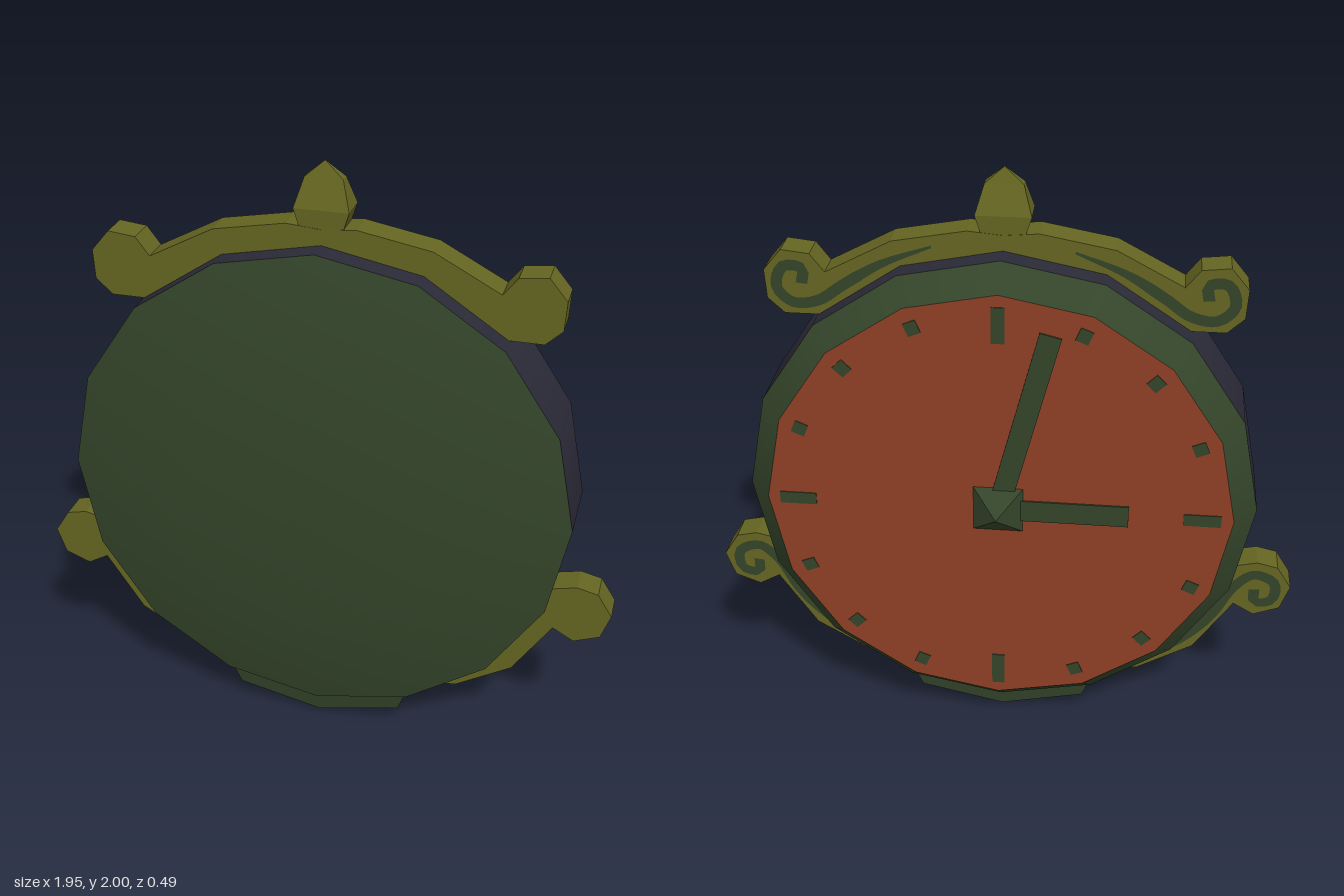
import * as THREE from 'three';

const mat = (name, color, side = THREE.FrontSide, flatShading = false) =>
  Object.assign(new THREE.MeshStandardMaterial({ color, side, flatShading }), { name });

const CY = 0.92; // height of the clock centre
const FACE_Z = -0.165; // plane of the dial
const SIDES = 16;

export function createModel() {
  const group = new THREE.Group();
  const green = mat('dark green', 0x34452a, THREE.DoubleSide);
  const navy = mat('dark navy', 0x2b2a38);
  const olive = mat('olive', 0x656522);
  const orange = mat('rust orange', 0x8f4026);

  const add = (name, geometry, material, x = 0, y = 0, z = 0) => {
    const mesh = new THREE.Mesh(geometry, material);
    mesh.name = name;
    mesh.position.set(x, y, z);
    group.add(mesh);
    return mesh;
  };

  // Case rings: profiles of [radius, z], turned around the z axis
  const ring = (name, profile, material) => {
    const g = new THREE.LatheGeometry(profile.map(p => new THREE.Vector2(...p)), SIDES);
    g.rotateX(Math.PI / 2);
    return add(name, g, material, 0, CY, 0);
  };
  ring('dialBezel', [[0.755, FACE_Z], [0.83, -0.085]], green);
  ring('caseBand', [[0.83, -0.085], [0.83, 0.165]], navy);
  ring('domedCover', [[0.83, 0.165], [0.45, 0.25], [0, 0.25]], green);

  // Dial
  add('dial', new THREE.CircleGeometry(0.755, SIDES), orange, 0, CY, FACE_Z).rotation.y = Math.PI;

  // Hour marks: long ones at the quarters, three small ones between
  for (let i = 0; i < 16; i++) {
    const a = (i / 16) * Math.PI * 2;
    const long = i % 4 === 0;
    const r = long ? 0.655 : 0.685;
    const mark = add('hourMark', new THREE.BoxGeometry(0.042, long ? 0.12 : 0.045, 0.004), green,
      -Math.sin(a) * r, CY + Math.cos(a) * r, FACE_Z - 0.001);
    mark.rotation.z = a;
  }

  // Hands
  const hand = (name, length, width, angle) => {
    const g = new THREE.BoxGeometry(width, length, 0.006);
    g.translate(0, length / 2, 0);
    add(name, g, green, 0, CY, FACE_Z - 0.003).rotation.z = angle;
  };
  hand('minuteHand', 0.65, 0.07, 0.25);
  hand('hourHand', 0.42, 0.075, Math.PI / 2);

  // Pyramid hub in the middle of the dial
  const hub = new THREE.ConeGeometry(0.08 * Math.SQRT2, 0.075, 4, 1).toNonIndexed();
  hub.rotateY(Math.PI / 4);
  hub.rotateX(-Math.PI / 2);
  hub.computeVertexNormals();
  add('handHub', hub, green, 0, CY, FACE_Z - 0.0375);

  // Scrolls around the case, with a carved line on the dial side
  const scroll = (name, outline, groove, s) => {
    const shape = new THREE.Shape(outline.map(([x, y]) => new THREE.Vector2(x * s, y)));
    const g = new THREE.ExtrudeGeometry(shape, { depth: 0.1, bevelEnabled: false });
    add(name, g, olive, 0, 0, -0.01);

    const curve = new THREE.CatmullRomCurve3(groove.map(([x, y]) => new THREE.Vector3(x * s, y, -0.013)));
    const n = 40, pos = [], idx = [];
    for (let i = 0; i <= n; i++) {
      const t = i / n, p = curve.getPointAt(t), d = curve.getTangentAt(t);
      const w = Math.min(0.018, 0.004 + t * 0.04);
      pos.push(p.x - d.y * w, p.y + d.x * w, p.z, p.x + d.y * w, p.y - d.x * w, p.z);
      const a = i * 2;
      // keep the ribbon facing the dial side on both mirrored halves
      if (i < n) idx.push(a, a + 2, a + 1, a + 1, a + 2, a + 3);
    }
    const ribbon = new THREE.BufferGeometry();
    ribbon.setAttribute('position', new THREE.Float32BufferAttribute(pos, 3));
    ribbon.setIndex(idx);
    ribbon.computeVertexNormals();
    add(name + 'Groove', ribbon, green);
  };

  const upper = [[0, 1.8], [0.11, 1.81], [0.344, 1.767], [0.555, 1.655], [0.6, 1.714], [0.69, 1.724],
    [0.748, 1.655], [0.743, 1.56], [0.69, 1.51], [0.585, 1.51], [0.5, 1.45], [0.3, 1.6], [0, 1.7]];
  const upperGroove = [[0.22, 1.755], [0.38, 1.69], [0.5, 1.615], [0.58, 1.56], [0.66, 1.55],
    [0.71, 1.6], [0.685, 1.67], [0.625, 1.665], [0.63, 1.615]];
  const lower = [[0.74, 0.62], [0.78, 0.645], [0.857, 0.663], [0.926, 0.647], [0.975, 0.57], [0.945, 0.483],
    [0.86, 0.45], [0.79, 0.49], [0.663, 0.297], [0.476, 0.186], [0.34, 0.175], [0.35, 0.28], [0.57, 0.4]];
  const lowerGroove = [[0.47, 0.215], [0.62, 0.32], [0.72, 0.44], [0.785, 0.56], [0.85, 0.615],
    [0.92, 0.585], [0.915, 0.515], [0.86, 0.505], [0.855, 0.555]];
  for (const s of [1, -1]) {
    scroll('upperScroll', upper, upperGroove, s);
    scroll('lowerScroll', lower, lowerGroove, s);
  }

  // Finial: box whose rows follow [y, half width, half depth]
  const rows = [[1.76, 0.055, 0.048], [1.86, 0.087, 0.05], [1.95, 0.06, 0.018], [2, 0.001, 0.001]];
  let finial = new THREE.BoxGeometry(2, 3, 2, 1, 3, 1);
  const fp = finial.attributes.position;
  for (let i = 0; i < fp.count; i++) {
    const [y, w, d] = rows[Math.round(fp.getY(i) + 1.5)];
    fp.setXYZ(i, fp.getX(i) * w, y, fp.getZ(i) * d);
  }
  finial = finial.toNonIndexed();
  finial.computeVertexNormals();
  add('finial', finial, olive, 0, 0, 0.04);

  // Foot: extruded outline, thinner toward the ground
  const footShape = new THREE.Shape([[-0.32, 0.17], [-0.285, 0.072], [0, 0], [0.285, 0.072], [0.32, 0.17]]
    .map(p => new THREE.Vector2(...p)));
  const foot = new THREE.ExtrudeGeometry(footShape, { depth: 1, bevelEnabled: false });
  const pp = foot.attributes.position;
  for (let i = 0; i < pp.count; i++) {
    const half = 0.077 + 0.16 * pp.getY(i);
    pp.setZ(i, 0.045 + (pp.getZ(i) * 2 - 1) * half);
  }
  foot.computeVertexNormals();
  add('foot', foot, green);

  return group;
}
